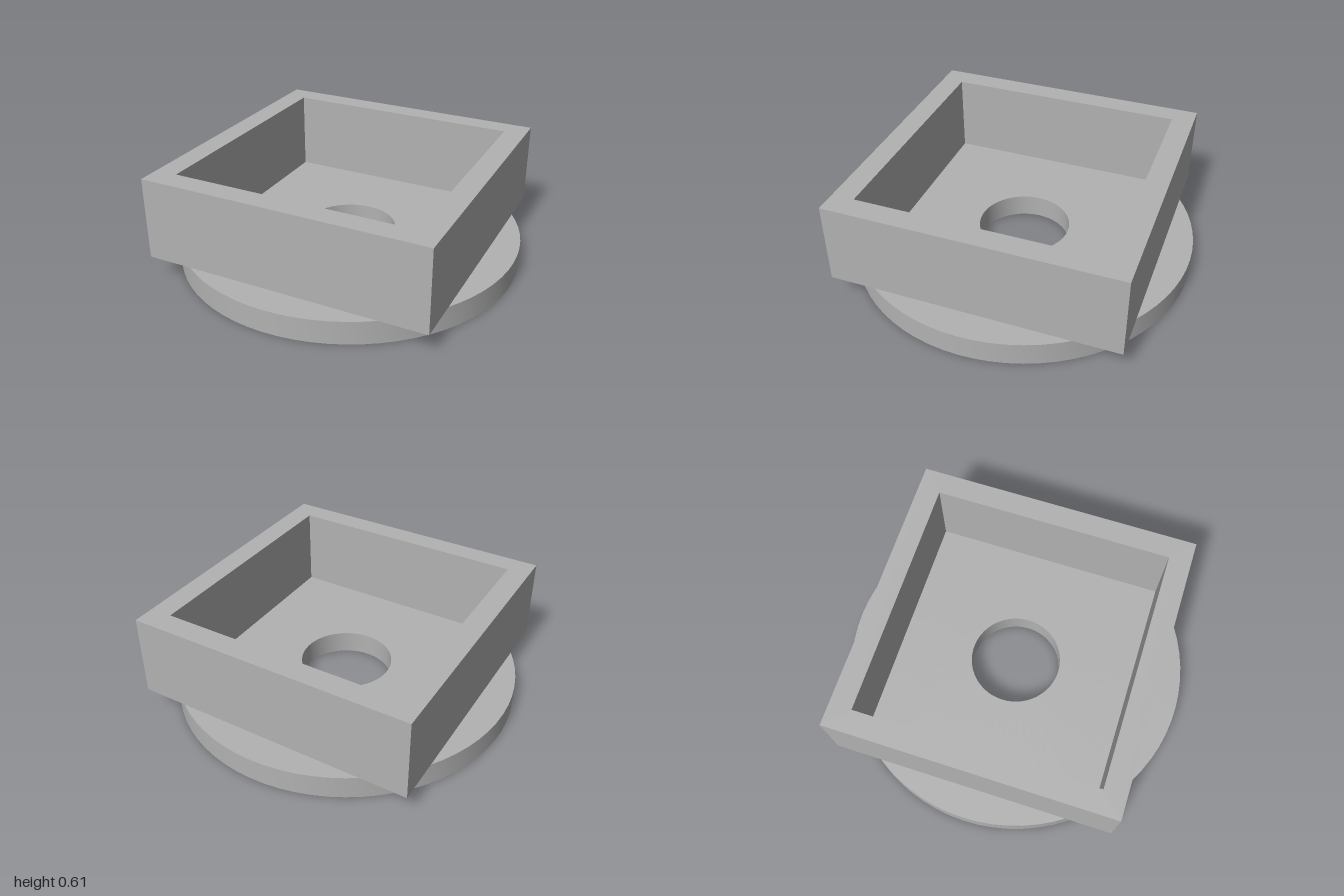
import * as THREE from 'three';
import { toCreasedNormals } from 'three/addons/utils/BufferGeometryUtils.js';

const DISC_TOP = 0.135, TOP = 0.61;

// Closed square outline of half-width h
function square(h, Type) {
  return new Type([[-h, -h], [h, -h], [h, h], [-h, h]].map(([x, y]) => new THREE.Vector2(x, y)));
}

export function createModel() {
  const group = new THREE.Group();
  const grey = new THREE.MeshStandardMaterial({ color: 0xb2b2b2 });
  grey.name = 'grey';

  // Round base with a central through hole
  const profile = [[0.268, 0], [1, 0], [1, DISC_TOP], [0.268, DISC_TOP], [0.268, 0]]
    .map(([r, y]) => new THREE.Vector2(r, y));
  const disc = new THREE.Mesh(toCreasedNormals(new THREE.LatheGeometry(profile, 72), 0.6), grey);
  disc.name = 'baseDisc';
  group.add(disc);

  // Open square wall standing on the base, its corners overhanging
  const outline = square(0.828, THREE.Shape);
  outline.holes.push(square(0.698, THREE.Path));
  const wall = new THREE.ExtrudeGeometry(outline, { depth: TOP - DISC_TOP, bevelEnabled: false });
  wall.rotateX(-Math.PI / 2).translate(0, DISC_TOP, 0);
  const frame = new THREE.Mesh(wall, grey);
  frame.name = 'squareWall';
  group.add(frame);

  return group;
}
